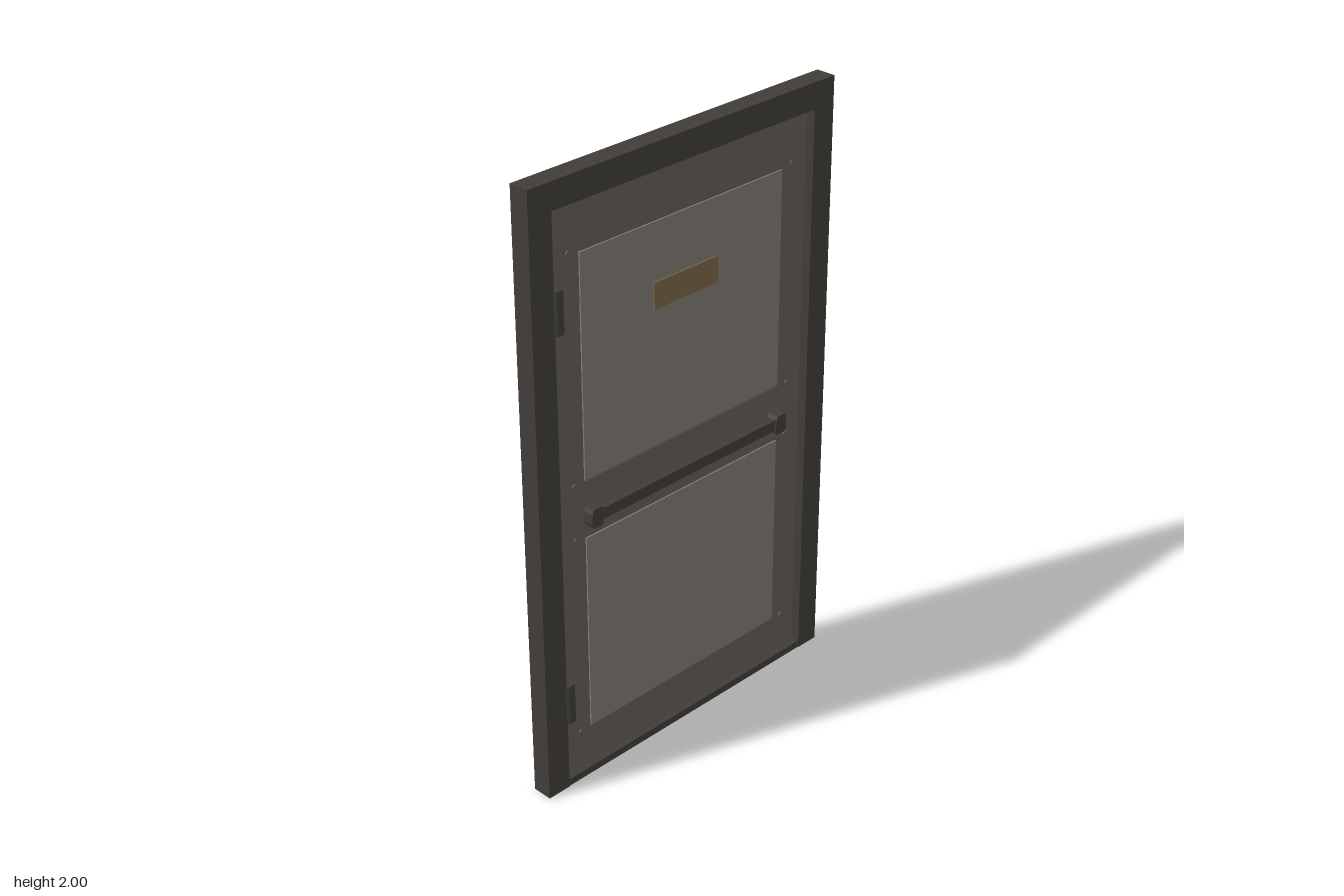
import * as THREE from 'three';

const mat = (color) => new THREE.MeshStandardMaterial({ color, flatShading: true });

export function createModel() {
  const door = new THREE.Group();
  door.name = 'door';
  const darkMetal = mat(0x403d39);
  const leafMetal = mat(0x645f59);
  const panelMetal = mat(0x807b73);
  const brass = mat(0x7a6546);

  const add = (name, geometry, material) => {
    const mesh = new THREE.Mesh(geometry, material);
    mesh.name = name;
    door.add(mesh);
    return mesh;
  };

  // Box given by its limits on each axis
  const box = (name, material, [x0, x1], [y0, y1], [z0, z1]) => {
    const mesh = add(name, new THREE.BoxGeometry(x1 - x0, y1 - y0, z1 - z0), material);
    mesh.position.set((x0 + x1) / 2, (y0 + y1) / 2, (z0 + z1) / 2);
    return mesh;
  };

  // Rectangle with cut corners, extruded along z from 0
  const chamferedBlock = (w, h, depth, cx, cy) => {
    const a = w / 2, b = h / 2;
    const shape = new THREE.Shape([
      [-a + cx, -b], [a - cx, -b], [a, -b + cy], [a, b - cy],
      [a - cx, b], [-a + cx, b], [-a, b - cy], [-a, -b + cy],
    ].map(([x, y]) => new THREE.Vector2(x, y)));
    return new THREE.ExtrudeGeometry(shape, { depth, bevelEnabled: false });
  };

  // Frame: one piece around the sides and top
  const outline = new THREE.Shape([
    [-0.605, 0], [-0.522, 0], [-0.522, 1.915], [0.522, 1.915],
    [0.522, 0], [0.605, 0], [0.605, 2], [-0.605, 2],
  ].map(([x, y]) => new THREE.Vector2(x, y)));
  add('frame', new THREE.ExtrudeGeometry(outline, { depth: 0.067, bevelEnabled: false }), darkMetal)
    .position.z = -0.041;

  // Threshold in front of the foot of the leaf
  box('threshold', darkMetal, [-0.522, 0.522], [0, 0.025], [-0.02, 0.024]);

  // Leaf, set back from both faces of the frame
  box('leaf', leafMetal, [-0.512, 0.512], [0.004, 1.905], [-0.024, 0.004]);

  // Raised panels with a bolt off each corner
  for (const [name, y0, y1] of [['upperPanel', 1.035, 1.755], ['lowerPanel', 0.165, 0.84]]) {
    box(name, panelMetal, [-0.41, 0.405], [y0, y1], [0.003, 0.009]);
    for (const x of [-0.45, 0.45]) {
      for (const y of [y0 - 0.005, y1 + 0.008]) {
        const bolt = add('bolt', new THREE.CylinderGeometry(0.008, 0.008, 0.006, 8), leafMetal);
        bolt.rotation.x = Math.PI / 2;
        bolt.position.set(x, y, 0.005);
      }
    }
  }

  // Plain sign plate
  box('signPlate', brass, [-0.13, 0.13], [1.485, 1.57], [0.008, 0.014]);

  // Push bar between two cut-corner mounts
  box('pushBar', darkMetal, [-0.385, 0.385], [0.9, 0.937], [0.02, 0.037]);
  for (const x of [-0.392, 0.392]) {
    add('barMount', chamferedBlock(0.046, 0.064, 0.038, 0.006, 0.014), darkMetal)
      .position.set(x, 0.917, 0.003);
  }

  // Hinges: upright prisms with cut edges, over the gap on the right side
  for (const y of [0.24, 1.545]) {
    const hinge = add('hinge', chamferedBlock(0.034, 0.032, 0.135, 0.006, 0.006), darkMetal);
    hinge.rotation.x = -Math.PI / 2;
    hinge.position.set(-0.507, y, 0.018);
  }

  return door;
}
